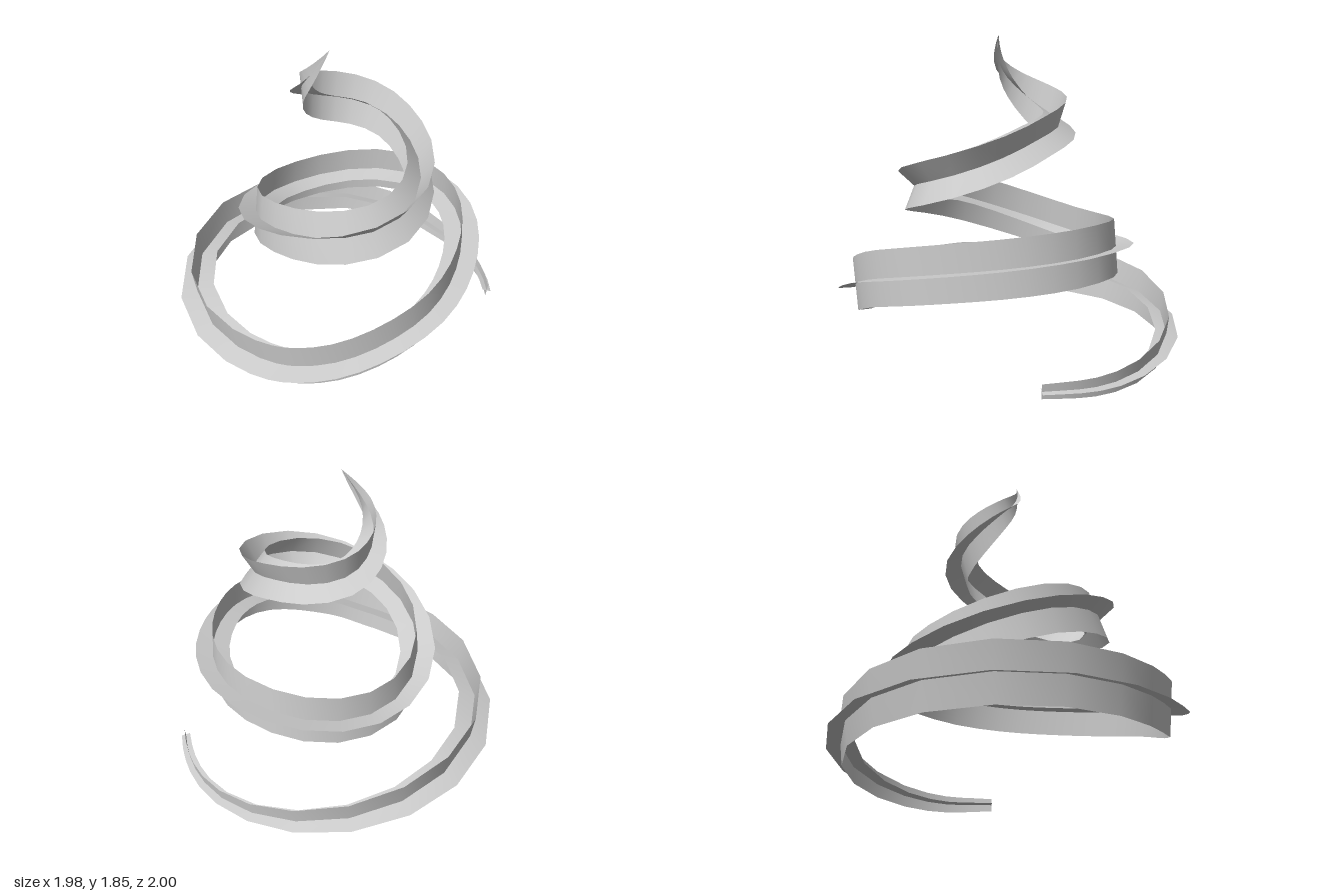
import * as THREE from 'three';

const STRETCH = 1.55;   // the whole swirl is stretched upward
const STEPS = 5;        // strips between two stations

// Stations along the spiral: angle (deg), radius, height, roll (deg), half width
const stations = [
  [53.9, 0.94, 0.07, -10, 0.027],
  [90.6, 0.955, 0.07, -10, 0.045],
  [178, 0.946, 0.24, -12, 0.1],
  [279.6, 0.898, 0.285, -12, 0.104],
  [312, 0.9, 0.37, -8, 0.102],
  [348.5, 0.852, 0.545, 0, 0.102],
  [391, 0.735, 0.64, 4, 0.102],
  [449, 0.69, 0.675, 8, 0.103],
  [534, 0.583, 0.615, 6, 0.105],
  [631, 0.5, 0.88, 15, 0.104],
  [714.8, 0.55, 1.06, 42, 0.108],
  [793.4, 0.35, 1.28, 57, 0.1],
  [886, 0.293, 1.4, 73, 0.1],
  [942, 0.23, 1.6, 85, 0.052],
  [976, 0.082, 1.85, 90, 0.0005],
];

const rad = THREE.MathUtils.degToRad;
const smooth = (pick) => new THREE.CatmullRomCurve3(
  stations.map((s) => new THREE.Vector3(...pick(s))), false, 'catmullrom', 0.5);
const pathCurve = smooth((s) => [rad(s[0]), s[1], s[2] / STRETCH]);
const crossCurve = smooth((s) => [rad(s[0]), rad(s[3]), s[4]]);

// Centre line before the stretch
function centre(t) {
  const p = pathCurve.getPoint(THREE.MathUtils.clamp(t, 0, 1));
  return new THREE.Vector3(0.05 + p.y * Math.cos(p.x), p.z, -p.y * Math.sin(p.x));
}

// One flat band along the path; turn = 0 lies flat, 90 stands upright
function ribbon(name, turn, material) {
  const positions = [], index = [];
  const count = (stations.length - 1) * STEPS;
  const up = new THREE.Vector3(0, 1, 0);
  for (let i = 0; i <= count; i++) {
    const t = i / count;
    const c = centre(t);
    const tangent = centre(t + 0.002).sub(centre(t - 0.002)).normalize();
    const outward = tangent.clone().cross(up).normalize();
    const lift = outward.clone().cross(tangent);
    const { y: roll, z: half } = crossCurve.getPoint(t);
    const a = roll + rad(turn);
    const across = outward.multiplyScalar(Math.cos(a)).addScaledVector(lift, Math.sin(a));
    // inner edge, middle, outer edge
    for (const side of [-1, 0, 1]) {
      const p = c.clone().addScaledVector(across, side * half);
      positions.push(p.x, p.y * STRETCH, p.z);
    }
    if (i === count) break;
    for (let k = 0; k < 2; k++) {
      const q = i * 3 + k;
      index.push(q, q + 1, q + 3, q + 1, q + 4, q + 3);
    }
  }
  const geometry = new THREE.BufferGeometry();
  geometry.setAttribute('position', new THREE.Float32BufferAttribute(positions, 3));
  geometry.setIndex(index);
  geometry.computeVertexNormals();
  const mesh = new THREE.Mesh(geometry, material);
  mesh.name = name;
  return mesh;
}

export function createModel() {
  const group = new THREE.Group();
  group.name = 'spiralSwirl';
  const material = new THREE.MeshStandardMaterial({ color: 0xcccccc, side: THREE.DoubleSide });
  // Two bands crossing at right angles along the same spiral
  group.add(ribbon('flatRibbon', 0, material));
  group.add(ribbon('uprightRibbon', 90, material));
  return group;
}
